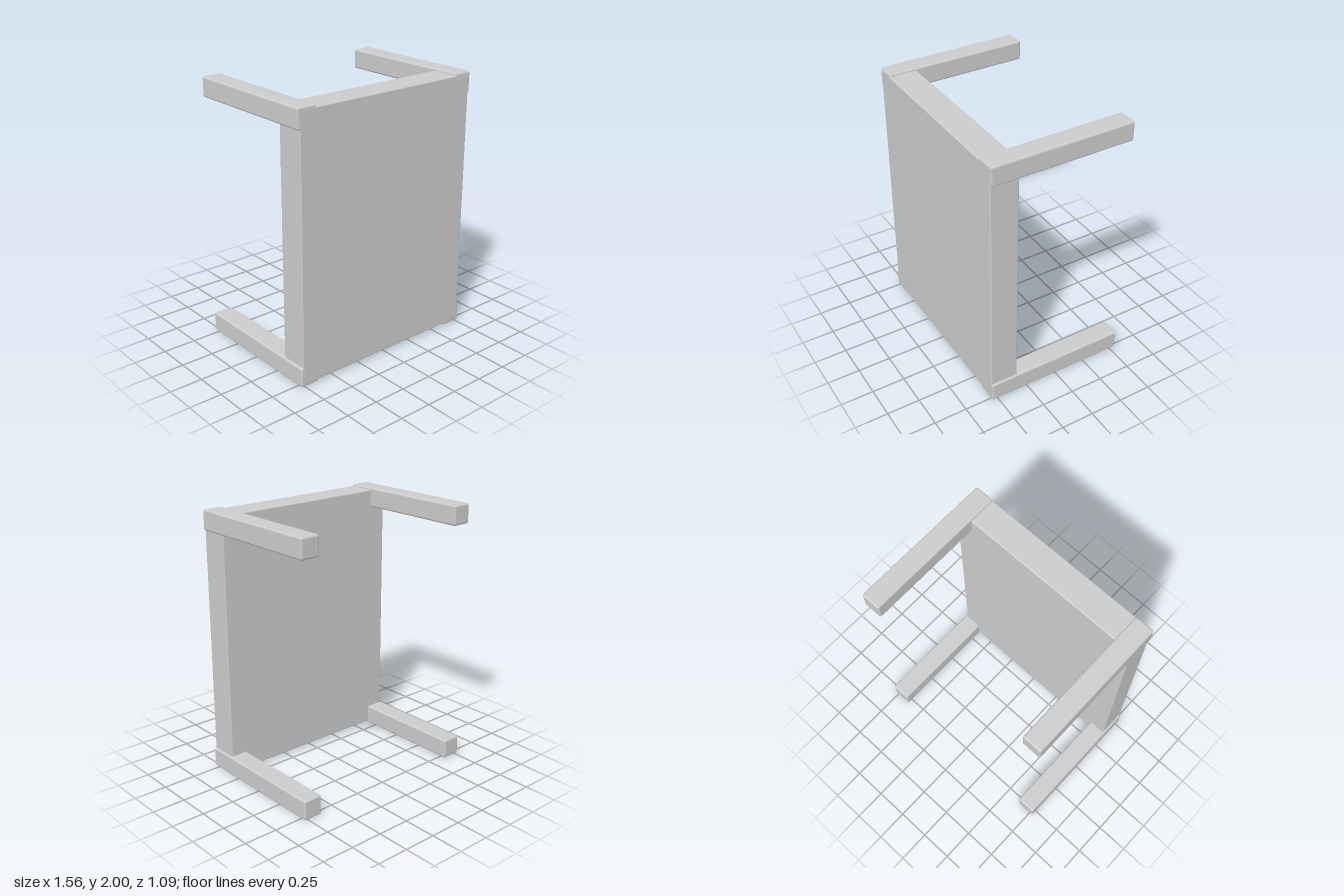
import * as THREE from 'three';
import { RoundedBoxGeometry } from 'three/addons/geometries/RoundedBoxGeometry.js';

export function createModel() {
  const model = new THREE.Group();
  model.name = 'table';
  const material = new THREE.MeshStandardMaterial({ color: 0xcccccc });

  // Softly bevelled box placed by its centre
  function addBlock(name, [w, h, d], [x, y, z], radius) {
    const mesh = new THREE.Mesh(new RoundedBoxGeometry(w, h, d, 3, radius), material);
    mesh.name = name;
    mesh.position.set(x, y, z);
    model.add(mesh);
  }

  // Thick table top, standing on its edge and facing forward
  addBlock('tableTop', [1.528, 1.968, 0.215], [0, 1, 0.4385], 0.01);

  // Four square legs at the corners, reaching to the back
  for (const [side, sx] of [['Left', 1], ['Right', -1]]) {
    for (const [level, y] of [['upper', 1.925], ['lower', 0.075]]) {
      addBlock(`${level}${side}Leg`, [0.15, 0.15, 1.09], [sx * 0.704, y, 0], 0.015);
    }
  }

  return model;
}
